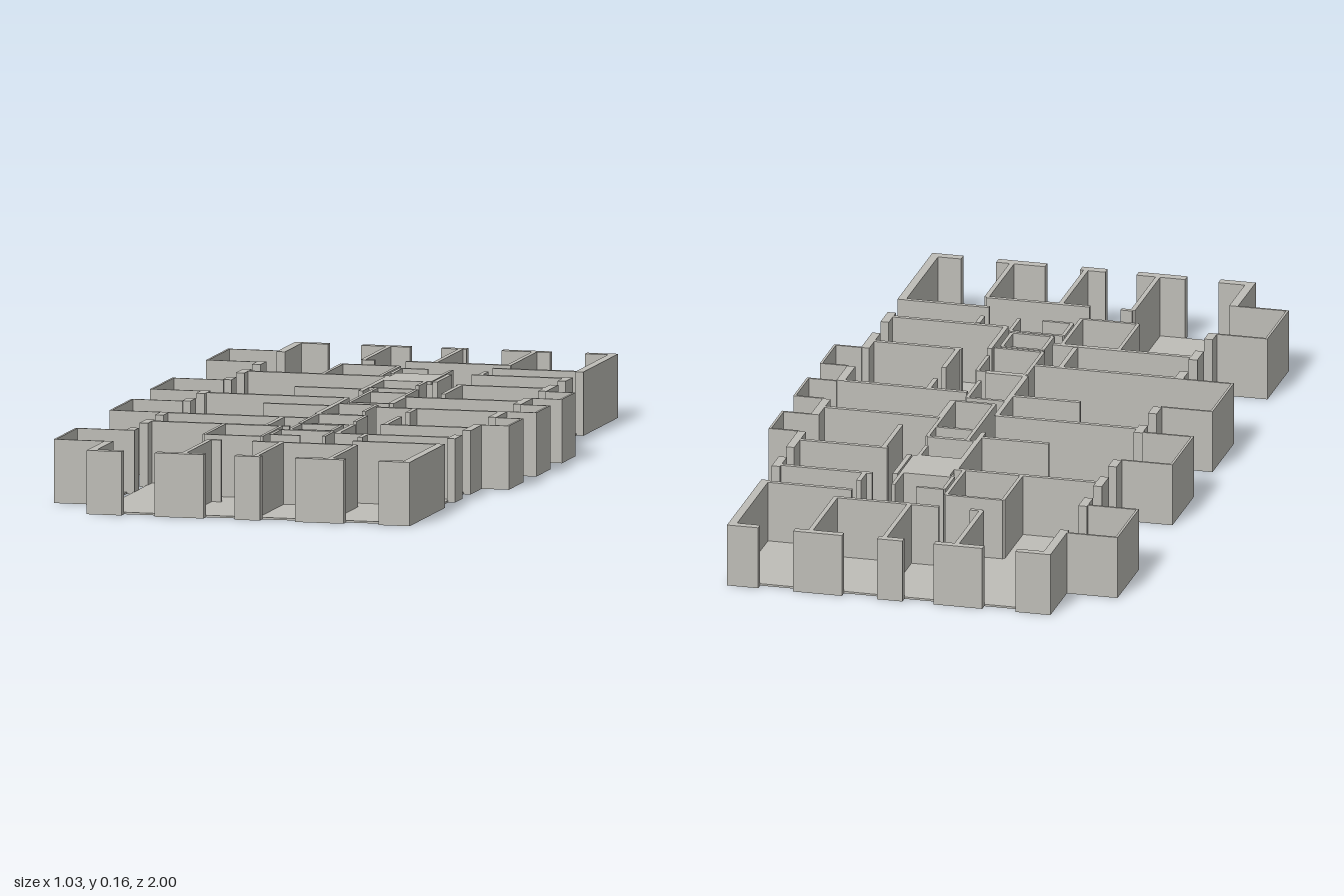
import * as THREE from 'three';

const H = 0.16;      // wall height
const SLAB = 0.005;  // floor thickness
const T = 0.012;     // partition thickness

export function createModel() {
  const root = new THREE.Group();
  root.name = 'floorPlan';
  const plaster = new THREE.MeshStandardMaterial({ color: 0xbebdb7 });
  plaster.name = 'plasterGrey';

  const group = (name) => {
    const g = new THREE.Group();
    g.name = name;
    root.add(g);
    return g;
  };
  // Box given by its footprint corners and its height range
  const block = (parent, name, x0, z0, x1, z1, y0 = 0, y1 = H) => {
    const mesh = new THREE.Mesh(new THREE.BoxGeometry(x1 - x0, y1 - y0, z1 - z0), plaster);
    mesh.position.set((x0 + x1) / 2, (y0 + y1) / 2, (z0 + z1) / 2);
    mesh.name = name;
    parent.add(mesh);
  };
  // Partitions along x and along z, given by their centre line
  const alongX = (parent, z, x0, x1, t = T) => block(parent, 'partition', x0, z - t / 2, x1, z + t / 2);
  const alongZ = (parent, x, z0, z1, t = T) => block(parent, 'partition', x - t / 2, z0, x + t / 2, z1);

  // Floor slab with service shafts cut through it
  const plan = new THREE.Shape();
  const rect = (path, x0, z0, x1, z1) => {
    path.moveTo(x0, -z0); path.lineTo(x1, -z0); path.lineTo(x1, -z1); path.lineTo(x0, -z1);
    path.closePath();
    return path;
  };
  rect(plan, -0.365, -0.98, 0.427, 0.976);
  [
    [0.135, -0.60, 0.195, -0.565], [0.14, -0.36, 0.205, -0.28], [0.11, -0.395, 0.14, -0.37],
    [0.135, 0.02, 0.16, 0.06], [0.165, 0.09, 0.2, 0.125], [0.165, 0.225, 0.2, 0.345],
    [-0.06, 0.3, -0.012, 0.43], [0.14, 0.545, 0.2, 0.57], [-0.015, 0.5, 0.005, 0.53],
  ].forEach((h) => plan.holes.push(rect(new THREE.Path(), ...h)));
  const slab = new THREE.Mesh(
    new THREE.ExtrudeGeometry(plan, { depth: SLAB, bevelEnabled: false }), plaster);
  slab.rotation.x = -Math.PI / 2;
  slab.name = 'floorSlab';
  root.add(slab);

  // Outer wall piers between the window openings
  const shell = group('outerWalls');
  [[-0.385, -0.295], [-0.21, -0.085], [-0.005, 0.06], [0.15, 0.275], [0.365, 0.445]].forEach(([a, b]) => {
    block(shell, 'endPier', a, -1, b, -0.98);
    block(shell, 'endPier', a, 0.976, b, 1);
  });
  [[-1, -0.82], [-0.645, -0.585], [-0.5, -0.43], [-0.355, -0.305], [-0.105, -0.05],
    [0.035, 0.085], [0.29, 0.345], [0.43, 0.495], [0.58, 0.625], [0.825, 1]]
    .forEach(([a, b]) => block(shell, 'balconySidePier', -0.385, a, -0.363, b));
  [[-1, -0.665], [-0.565, -0.495], [-0.425, -0.31], [-0.185, -0.07], [0.065, 0.17],
    [0.305, 0.415], [0.495, 0.565], [0.66, 1]]
    .forEach(([a, b]) => block(shell, 'baySidePier', 0.424, a, 0.445, b));

  // Walled balconies on one side, small bays on the other
  const balcony = (name, outer, inner, z0, z1) => {
    const g = group(name);
    const t = 0.006;
    const lo = Math.min(outer, inner), hi = Math.max(outer, inner);
    const edge = outer < inner ? lo : hi - t;
    block(g, 'balconyFloor', lo, z0, hi, z1, 0, SLAB);
    block(g, 'balconyOuterWall', edge, z0, edge + t, z1);
    block(g, 'balconyEndWall', lo, z0, hi, z0 + t);
    block(g, 'balconyEndWall', lo, z1 - t, hi, z1);
  };
  [[-0.84, -0.63], [-0.305, -0.095], [0.085, 0.295], [0.62, 0.83]]
    .forEach(([a, b]) => balcony('balcony', -0.515, -0.382, a, b));
  [[-0.31, -0.18], [-0.07, 0.065], [0.17, 0.31]]
    .forEach(([a, b], i) => balcony('bay', i === 2 ? 0.515 : 0.52, 0.443, a, b));

  // Partitions across the plan: z, x start, x end
  const inner = group('partitions');
  [
    [-0.47, -0.365, 0], [-0.235, -0.18, 0], [-0.075, -0.365, 0], [0.07, -0.18, 0],
    [0.295, -0.365, -0.005], [0.45, -0.365, -0.01],
    [-0.738, -0.14, -0.11], [-0.738, -0.03, 0.24], [0.732, -0.14, -0.11], [0.732, -0.03, 0.235],
    [-0.675, 0.21, 0.425], [-0.55, 0.19, 0.425], [-0.365, 0.2, 0.425], [-0.125, 0.13, 0.425],
    [0.068, 0.11, 0.425], [0.36, 0.2, 0.425], [0.54, 0.13, 0.425], [0.665, 0.21, 0.425],
  ].forEach(([z, a, b]) => alongX(inner, z, a, b));
  // Partitions along the plan: x, z start, z end
  [
    [-0.14, -0.98, -0.738], [0.045, -0.98, -0.738], [0.235, -0.98, -0.738],
    [-0.14, 0.732, 0.976], [0.045, 0.732, 0.976], [0.235, 0.732, 0.976],
    [-0.003, -0.47, -0.2], [-0.003, -0.075, 0.215], [-0.07, 0.3, 0.44],
    [0.21, -0.61, -0.55], [0.21, -0.365, -0.2], [0.21, 0.22, 0.36], [0.21, 0.07, 0.14],
    [0.21, 0.55, 0.6], [0.135, -0.54, -0.4], [0.135, 0.38, 0.54], [0.13, -0.125, 0.0],
  ].forEach(([x, a, b]) => alongZ(inner, x, a, b));

  // Small rooms along the corridor; each keeps a doorway on the given side
  const core = group('coreRooms');
  const room = (x0, z0, x1, z1, door) => {
    const t = 0.009, w = 0.06;
    alongX(core, z0, x0, door === 'back' ? x1 - w : x1, t);
    alongX(core, z1, x0, door === 'front' ? x1 - w : x1, t);
    alongZ(core, x0, z0, z1, t);
    alongZ(core, x1, z0, door === 'side' ? z1 - w : z1, t);
  };
  room(-0.172, -0.652, -0.025, -0.47);
  room(-0.178, 0.455, -0.032, 0.643);
  room(-0.01, -0.615, 0.12, -0.525, 'back');
  room(0.0, -0.4, 0.11, -0.265, 'side');
  room(0.022, -0.262, 0.125, -0.19);
  room(0.022, -0.19, 0.125, 0.0);
  room(0.0, 0.03, 0.1, 0.213, 'side');
  room(0.0, 0.222, 0.125, 0.39, 'side');
  room(0.005, 0.403, 0.11, 0.503);
  room(-0.018, 0.515, 0.118, 0.605, 'front');

  // Covered shaft
  block(core, 'shaftCover', 0, -0.525, 0.125, -0.4, H - 0.008, H);
  return root;
}
